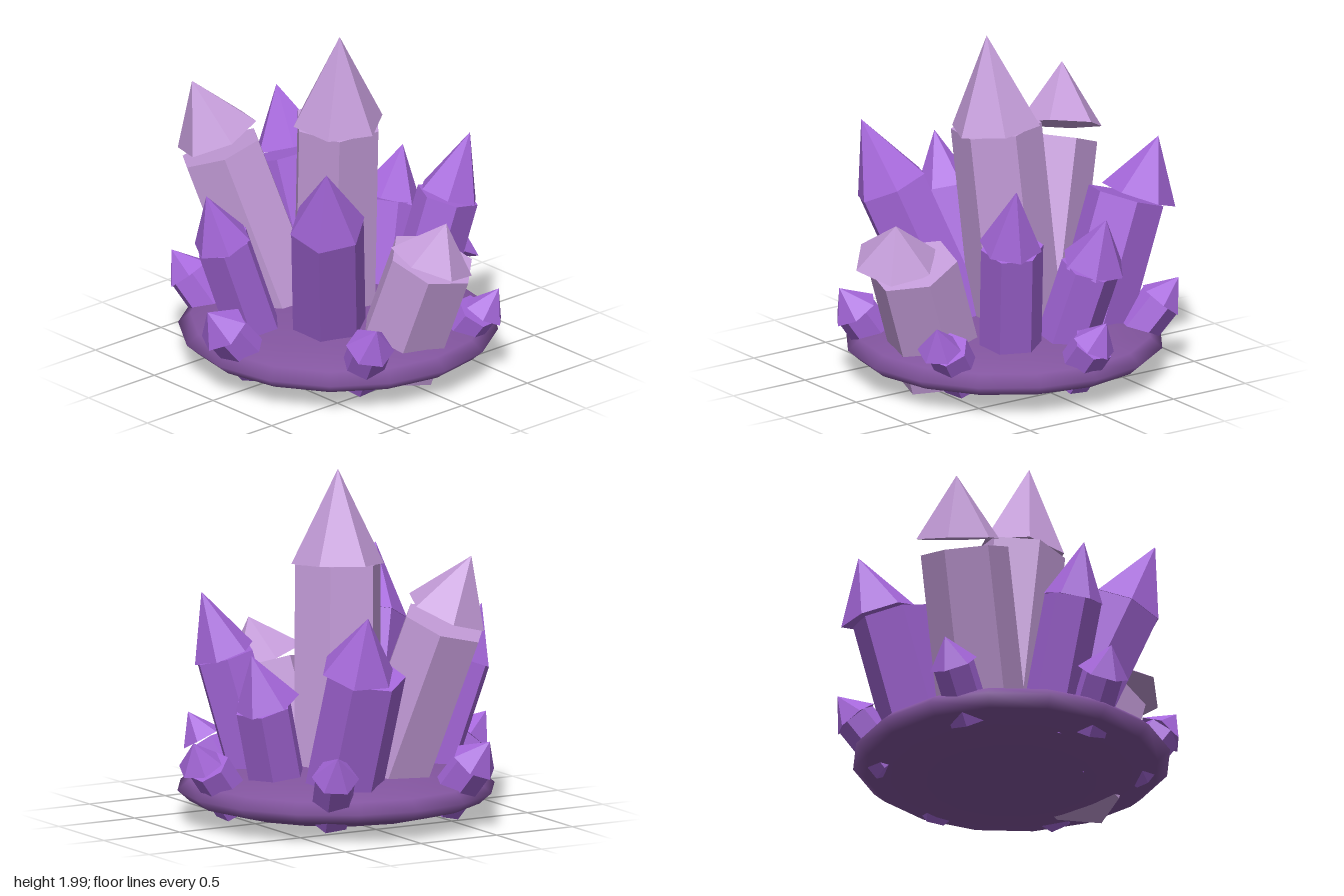
import * as THREE from 'three';

const deg = Math.PI / 180;
const up = new THREE.Vector3(0, 1, 0);

export function createModel() {
  const model = new THREE.Group();
  model.name = 'crystalCluster';

  const makeMaterial = (name, color, flatShading = true) => {
    const m = new THREE.MeshStandardMaterial({ color, flatShading });
    m.name = name;
    return m;
  };
  const purple = makeMaterial('crystalPurple', 0xa567da);
  const pale = makeMaterial('paleLilac', 0xc49cd9);
  const rock = makeMaterial('basePurple', 0x83559f, false);

  // Flattened, smooth base
  const base = new THREE.Mesh(new THREE.SphereGeometry(0.91, 16, 8), rock);
  base.name = 'base';
  base.scale.y = 0.176;
  base.position.set(-0.01, 0.175, -0.04);
  model.add(base);

  // Six-sided solid between two points; topRadius 0 makes a point
  function addPrism(parent, name, from, to, topRadius, bottomRadius, twist, mat) {
    const axis = to.clone().sub(from);
    const h = axis.length();
    const geo = new THREE.CylinderGeometry(topRadius, bottomRadius, h, 6);
    geo.rotateY(twist * deg).translate(0, h / 2, 0);
    const mesh = new THREE.Mesh(geo, mat);
    mesh.name = name;
    mesh.position.copy(from);
    mesh.quaternion.setFromUnitVectors(up, axis.normalize());
    parent.add(mesh);
  }

  // Shaft from foot to top, then a point from capAt (a little off the shaft on some) to tip.
  // Without a given top, the shaft ends capH short of the tip.
  function addCrystal({ name, foot, tip, top, capAt, capH, r, capR, mat = purple, twist = 20, capTwist = 10 }) {
    const crystal = new THREE.Group();
    crystal.name = name;
    const start = new THREE.Vector3(...foot);
    const end = new THREE.Vector3(...tip);
    const shaftEnd = top
      ? new THREE.Vector3(...top)
      : end.clone().addScaledVector(end.clone().sub(start).normalize(), -capH);
    const capStart = capAt ? new THREE.Vector3(...capAt) : shaftEnd;
    addPrism(crystal, name + 'Shaft', start, shaftEnd, r, r, twist, mat);
    addPrism(crystal, name + 'Point', capStart, end, 0, capR, capTwist, mat);
    model.add(crystal);
  }

  // Large crystals
  [
    { name: 'centreCrystal', foot: [0.03, 0.12, -0.12], tip: [-0.07, 1.99, 0.04], capH: 0.54, r: 0.26, capR: 0.265, mat: pale, twist: 20, capTwist: 6 },
    { name: 'backRightCrystal', foot: [-0.14, 0.14, -0.32], top: [-0.37, 1.18, -0.64], capAt: [-0.36, 1.25, -0.68], tip: [-0.47, 1.58, -0.77], r: 0.25, capR: 0.245, mat: pale, twist: 25, capTwist: 40 },
    { name: 'frontCrystal', foot: [0.01, 0.09, 0.42], top: [0.08, 0.77, 0.66], capAt: [0.01, 0.8, 0.73], tip: [0.08, 1.03, 0.78], r: 0.26, capR: 0.245, mat: pale, twist: 15, capTwist: 48 },
    { name: 'frontRightCrystal', foot: [-0.2, 0.12, 0.1], tip: [-0.61, 1.44, 0.53], capH: 0.42, r: 0.215, capR: 0.22, twist: 5, capTwist: 5 },
    { name: 'rightCrystal', foot: [-0.5, 0.12, -0.15], tip: [-0.89, 1.17, -0.18], capH: 0.33, r: 0.165, capR: 0.17, twist: 20, capTwist: 30 },
    { name: 'frontLeftCrystal', foot: [0.34, 0.12, 0.17], top: [0.53, 0.93, 0.29], capAt: [0.53, 0.94, 0.3], tip: [0.65, 1.3, 0.345], r: 0.18, capR: 0.18, twist: 35, capTwist: 15 },
    { name: 'backLeftCrystal', foot: [0.21, 0.14, -0.45], top: [0.2, 0.96, -0.74], capAt: [0.28, 0.98, -0.77], tip: [0.29, 1.31, -0.9], r: 0.225, capR: 0.22, twist: 10, capTwist: 25 },
    { name: 'leftCrystal', foot: [0.4, 0.12, -0.12], top: [0.58, 0.73, -0.22], capAt: [0.57, 0.74, -0.25], tip: [0.68, 1.03, -0.26], r: 0.17, capR: 0.19, twist: 25, capTwist: 0 },
  ].forEach(addCrystal);

  // Small crystals leaning out over the rim
  [
    { foot: [-0.66, 0.12, 0], tip: [-0.99, 0.52, -0.06], capH: 0.17, capR: 0.15 },
    { foot: [-0.37, 0.12, 0.53], tip: [-0.46, 0.52, 0.79], capH: 0.17, capR: 0.14 },
    { foot: [0.35, 0.12, 0.5], top: [0.42, 0.36, 0.66], capAt: [0.42, 0.37, 0.72], tip: [0.48, 0.52, 0.78], capR: 0.125 },
    { foot: [0.65, 0.12, -0.03], top: [0.84, 0.37, -0.06], capAt: [0.88, 0.38, -0.03], tip: [0.95, 0.52, -0.07], capR: 0.13 },
    { foot: [0.36, 0.12, -0.6], tip: [0.49, 0.52, -0.9], capH: 0.17, capR: 0.135 },
    { foot: [-0.38, 0.12, -0.6], tip: [-0.52, 0.52, -0.89], capH: 0.17, capR: 0.14 },
  ].forEach((c, i) => addCrystal({
    name: 'smallCrystal' + (i + 1), r: 0.122, twist: 10 + i * 17, capTwist: 30 + i * 23, ...c,
  }));

  return model;
}
